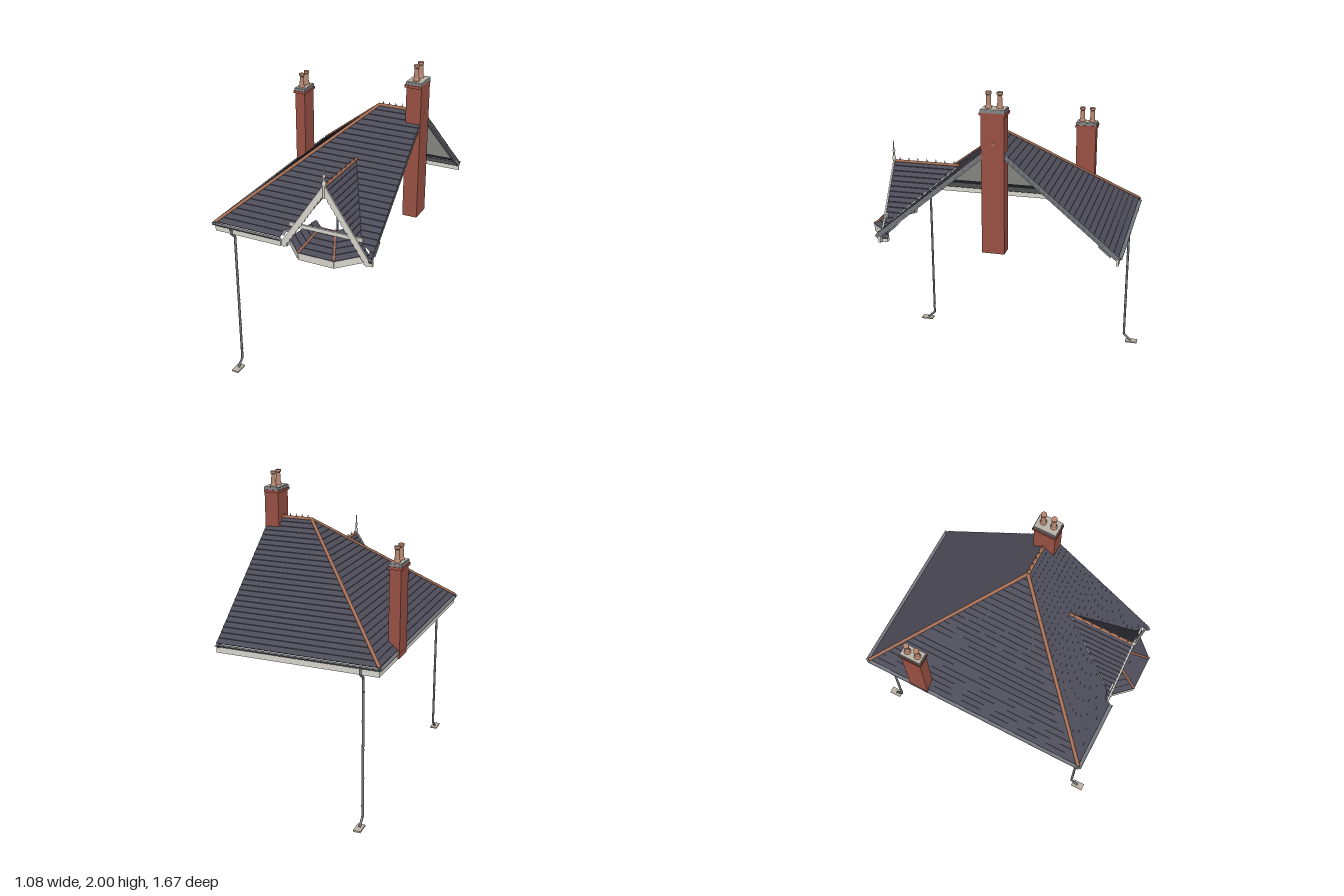
import * as THREE from 'three';

const mat = (name, color, double = false) => {
  const m = new THREE.MeshStandardMaterial({ color, side: double ? THREE.DoubleSide : THREE.FrontSide });
  m.name = name;
  return m;
};
const V = (x, y, z) => new THREE.Vector3(x, y, z);

export function createModel() {
  const root = new THREE.Group();
  root.name = 'houseRoof';
  const slate = mat('slate', 0x4d4c59, true);
  const lining = mat('lining', 0xdbdad4, true);
  const eavesGrey = mat('eavesGrey', 0x85878a, true);
  const metal = mat('metal', 0x74777d, true);
  const paint = mat('paint', 0xdad7cf);
  const brick = mat('brick', 0x9a5144);
  const terracotta = mat('terracotta', 0xa87056);
  const clay = mat('clay', 0xb98872);
  const mortar = mat('mortar', 0xb9b3a6);

  const add = (name, geo, material, parent = root) => {
    const m = new THREE.Mesh(geo, material);
    m.name = name;
    parent.add(m);
    return m;
  };
  const box = (name, x0, x1, y0, y1, z0, z1, material) => {
    const m = add(name, new THREE.BoxGeometry(x1 - x0, y1 - y0, z1 - z0), material);
    m.position.set((x0 + x1) / 2, (y0 + y1) / 2, (z0 + z1) / 2);
    return m;
  };
  // Round bar between two points
  const rod = (name, a, b, r, material, sides = 8) => {
    const m = add(name, new THREE.CylinderGeometry(r, r, a.distanceTo(b), sides), material);
    m.position.copy(a).lerp(b, 0.5);
    m.quaternion.setFromUnitVectors(V(0, 1, 0), b.clone().sub(a).normalize());
    return m;
  };
  // Square bar between two points
  const beam = (name, a, b, w, h, material) => {
    const m = add(name, new THREE.BoxGeometry(w, h, a.distanceTo(b)), material);
    m.position.copy(a).lerp(b, 0.5);
    m.lookAt(b);
    return m;
  };

  // Courses of a slope; ends(t) gives both ends of the line at t (0 top, 1 eave)
  const courses = (name, ends, rows, t0, t1, lift, drop, material) => {
    const [a1, b1] = ends(1);
    const n = b1.clone().sub(a1).cross(ends(0)[0].sub(a1)).normalize();
    if (n.y < 0) n.negate();
    const pos = [];
    const quad = (a, b, c, d) => [a, b, c, a, c, d].forEach((p) => pos.push(p.x, p.y, p.z));
    const line = (t) => ends(t).map((p) => p.addScaledVector(n, -drop));
    for (let i = 0; i < rows; i++) {
      const up = line(t0 + ((t1 - t0) * i) / rows);
      const low = line(t0 + ((t1 - t0) * (i + 1)) / rows);
      const raised = low.map((p) => p.clone().add(V(0, lift, 0)));
      quad(up[0], raised[0], raised[1], up[1]);
      if (lift) quad(raised[0], low[0], low[1], raised[1]);
    }
    const g = new THREE.BufferGeometry();
    g.setAttribute('position', new THREE.Float32BufferAttribute(pos, 3));
    g.computeVertexNormals();
    return add(name, g, material);
  };

  // Main roof: three slopes, the front one open beneath the small gable
  const D = 0.76, cx = 0.225, endX = 0.537;
  const ry = (t) => 1.7 - 0.637 * t;
  const notch = (z) => (z > 0.685 ? 0.285 : Math.max(0, (z - 0.285) * 0.56));
  const slopes = {
    frontLeft: (t) => { const z = -0.02 + D * t; return [V(0.24 - D * t, ry(t), z), V(Math.max(0.24 - D * t, cx - notch(z)), ry(t), z)]; },
    frontRight: (t) => { const z = -0.02 + D * t; return [V(Math.max(0.24 - D * t, cx + notch(z)), ry(t), z), V(endX, ry(t), z)]; },
    back: (t) => [V(0.24 - D * t, ry(t), -0.02 - D * t), V(endX, ry(t), -0.02 - D * t)],
    hipEnd: (t) => [V(0.24 - D * t, ry(t), -0.02 - D * t), V(0.24 - D * t, ry(t), -0.02 + D * t)],
  };
  for (const [key, ends] of Object.entries(slopes)) {
    courses(key + 'Slates', ends, 25, 0, 1, 0.004, 0, slate);
    courses(key + 'Lining', ends, 25, 0.02, 0.89, 0, 0.018, lining);
    courses(key + 'EavesUnderside', ends, 4, 0.87, 0.97, 0, 0.04, eavesGrey);
  }

  // Hip and ridge tiles with cresting
  const peak = V(0.24, 1.7, -0.02);
  for (const s of [-1, 1]) rod('hipTiles', peak, V(-0.52, 1.065, -0.02 + s * 0.76), 0.011, terracotta);
  rod('ridgeTiles', peak, V(0.542, 1.7, -0.02), 0.011, terracotta);
  const crest = (x, y, z) => {
    const c = add('crestSpike', new THREE.ConeGeometry(0.007, 0.03, 6), terracotta);
    c.position.set(x, y, z);
  };
  for (let i = 0; i < 5; i++) crest(0.265 + i * 0.042, 1.715, -0.02);

  // Verge boards on the open end
  for (const s of [-1, 1]) beam('vergeBoard', V(0.526, 1.68, -0.02), V(0.526, 1.04, -0.02 + s * 0.763), 0.016, 0.03, metal);

  // Fascias and gutters
  box('leftFascia', -0.52, -0.507, 1.005, 1.048, -0.78, 0.74, paint);
  box('backFascia', -0.52, endX, 1.005, 1.048, -0.78, -0.767, paint);
  box('frontFascia', -0.52, -0.06, 1.005, 1.048, 0.727, 0.74, paint);
  box('frontFasciaEnd', 0.51, endX, 1.005, 1.048, 0.715, 0.73, paint);
  const gutter = (a, b) => {
    const g = new THREE.CylinderGeometry(0.012, 0.012, a.distanceTo(b), 10, 1, true, Math.PI / 2, Math.PI);
    g.rotateX(-Math.PI / 2);
    const m = add('gutter', g, metal);
    m.position.copy(a).lerp(b, 0.5);
    m.lookAt(b);
  };
  gutter(V(-0.529, 1.059, -0.79), V(-0.529, 1.059, 0.75));
  gutter(V(-0.53, 1.059, -0.79), V(endX, 1.059, -0.79));
  gutter(V(-0.53, 1.059, 0.751), V(-0.06, 1.059, 0.751));

  // Small front gable
  for (const s of [-1, 1]) {
    const ends = (t) => {
      const d = 0.285 * t;
      return [V(cx + s * d, 1.45 - 1.5 * d, Math.min(0.285 + d * 1.79, 0.68)), V(cx + s * d, 1.45 - 1.5 * d, 0.72)];
    };
    courses('gableSlates', ends, 15, 0, 1, 0.005, 0, slate);
    courses('gableLining', ends, 15, 0.02, 1, 0, 0.01, lining);
  }
  rod('gableRidgeTiles', V(cx, 1.45, 0.285), V(cx, 1.45, 0.72), 0.009, terracotta);
  for (let i = 0; i < 7; i++) crest(cx, 1.465, 0.32 + i * 0.06);

  // Scalloped bargeboards
  const L = 0.53, scallops = 14, step = L / scallops;
  const board = new THREE.Shape();
  board.moveTo(0, 0.008);
  board.lineTo(0, -0.026);
  for (let i = 0; i < scallops; i++) {
    board.quadraticCurveTo((i + 0.5) * step, -0.038, (i + 1) * step, -0.026);
  }
  board.lineTo(L, 0.008);
  const boardGeo = new THREE.ExtrudeGeometry(board, { depth: 0.01, bevelEnabled: false, curveSegments: 4 });
  boardGeo.translate(0, 0, -0.005);
  boardGeo.rotateZ(-Math.atan(1.5));
  for (const s of [-1, 1]) {
    const b = add('bargeboard', boardGeo, paint);
    b.position.set(cx, 1.45, 0.72);
    if (s < 0) b.rotation.y = Math.PI;
    const fx = cx + s * 0.265;
    box('bargeFoot', fx - 0.014, fx + 0.014, 1.0, 1.025, 0.68, 0.718, paint);
  }
  box('collarBeam', -0.015, 0.465, 1.14, 1.165, 0.7, 0.712, paint);
  const finial = [[0, 1.37], [0.008, 1.38], [0.008, 1.45], [0.013, 1.46], [0.013, 1.475], [0.006, 1.485],
    [0.006, 1.505], [0.01, 1.515], [0.004, 1.53], [0.002, 1.58], [0, 1.58]].map(([r, y]) => new THREE.Vector2(r, y));
  add('finial', new THREE.LatheGeometry(finial, 8), paint).position.set(cx, 0, 0.72);

  // Bay roof below the gable
  const bay = (name, a, b, c, d) => {
    const ends = (t) => [a.clone().lerp(c, t), b.clone().lerp(d, t)];
    courses(name + 'Slates', ends, 5, 0, 1, 0.004, 0, slate);
    courses(name + 'Underside', ends, 1, 0, 0.97, 0, 0.008, eavesGrey);
  };
  const bayFascia = (name, a, b, inward) => {
    beam(name, a, b, 0.008, 0.044, paint);
    beam(name + 'Back', a.clone().add(inward), b.clone().add(inward), 0.004, 0.04, eavesGrey);
  };
  const bp = (s, x, y, z) => V(cx + s * x, y, z);
  bay('bayFront', bp(-1, 0.047, 1.155, 0.67), bp(1, 0.047, 1.155, 0.67), bp(-1, 0.117, 1.047, 0.835), bp(1, 0.117, 1.047, 0.835));
  bayFascia('bayFrontFascia', bp(-1, 0.115, 1.023, 0.829), bp(1, 0.115, 1.023, 0.829), V(0, 0, -0.006));
  for (const s of [-1, 1]) {
    bay('baySide', bp(s, 0.047, 1.155, 0.67), bp(s, 0.115, 1.155, 0.6), bp(s, 0.117, 1.047, 0.835), bp(s, 0.25, 1.047, 0.695));
    rod('bayHipTiles', bp(s, 0.047, 1.158, 0.67), bp(s, 0.117, 1.05, 0.835), 0.007, terracotta);
    bayFascia('baySideFascia', bp(s, 0.115, 1.023, 0.829), bp(s, 0.245, 1.023, 0.691), V(-s * 0.0044, 0, -0.0041));
  }

  // Chimneys
  const potProfile = [[0, 0], [0.021, 0], [0.021, 0.012], [0.016, 0.02], [0.0135, 0.08], [0.018, 0.086],
    [0.018, 0.1], [0, 0.1]].map(([r, y]) => new THREE.Vector2(r, y));
  const potGeo = new THREE.LatheGeometry(potProfile, 14).toNonIndexed();
  potGeo.computeVertexNormals();
  const chimney = (x, z, hx, hz, y0, top) => {
    const slab = (name, e, a, b, m) => box(name, x - hx - e, Math.min(x + hx + e, 0.541), a, b, z - hz - e, z + hz + e, m);
    slab('chimneyStack', 0, y0, top - 0.03, brick);
    slab('chimneyCorbel', 0.009, top - 0.034, top - 0.017, brick);
    slab('chimneyBand', 0.004, top - 0.017, top, eavesGrey);
    slab('chimneyCap', 0, top, top + 0.004, mortar);
    for (const s of [-1, 1]) add('chimneyPot', potGeo, clay).position.set(x, top, z + s * 0.034);
  };
  chimney(0.492, -0.017, 0.048, 0.07, 1.01, 1.9);
  chimney(-0.495, -0.405, 0.036, 0.066, 1.01, 1.59);

  // Downpipes with collars and foot slabs
  for (const [s, top, z] of [[1, 0.745, 0.705], [-1, -0.785, -0.735]]) {
    const x = -0.405;
    const pts = [V(x, 1.045, top), V(x, 1.01, top), V(x, 0.97, z), V(x, 0.055, z), V(x, 0.018, z + s * 0.04), V(x, 0.01, z + s * 0.05)];
    for (let i = 0; i < pts.length - 1; i++) rod('downpipe', pts[i], pts[i + 1], 0.008, metal);
    for (let i = 0; i < 5; i++) {
      const y = 0.13 + i * 0.188;
      rod('pipeCollar', V(x, y - 0.004, z), V(x, y + 0.004, z), 0.0095, metal);
    }
    const foot = z + s * 0.055;
    box('footSlab', x - 0.024, x + 0.024, 0, 0.01, foot - 0.042, foot + 0.042, mortar);
  }
  return root;
}
